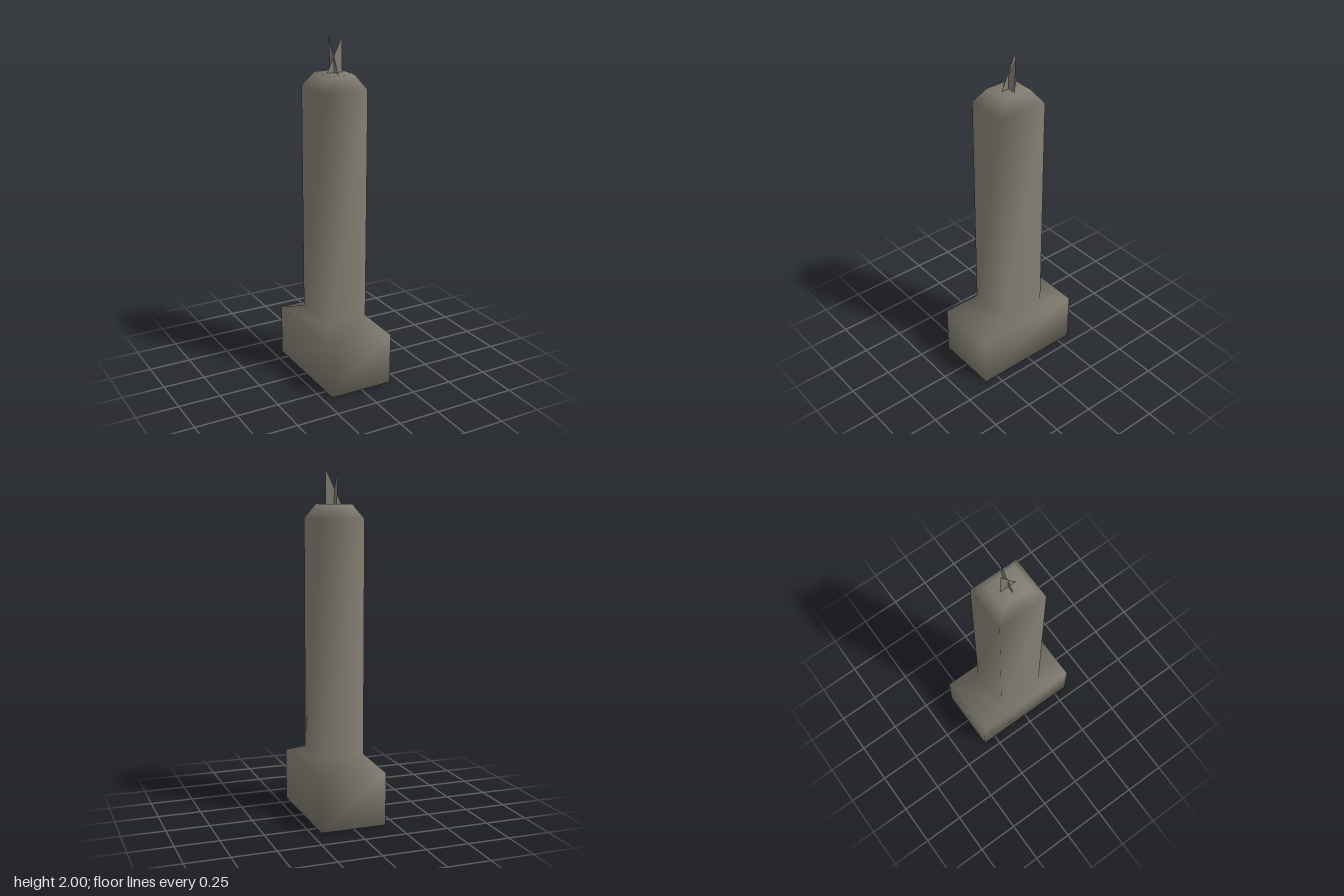
import * as THREE from 'three';

const stone = new THREE.MeshStandardMaterial({ color: 0x827d71, side: THREE.DoubleSide });
stone.name = 'weathered grey stone';

// Rectangular rings [y, half width, half depth], joined with shared corners and closed at both ends
function ringTower(rings) {
  const positions = [];
  const index = [];
  for (const [y, w, d] of rings) {
    positions.push(-w, y, d, w, y, d, w, y, -d, -w, y, -d);
  }
  for (let r = 0; r < rings.length - 1; r++) {
    for (let i = 0; i < 4; i++) {
      const a = r * 4 + i;
      const b = r * 4 + (i + 1) % 4;
      index.push(a, b, b + 4, a, b + 4, a + 4);
    }
  }
  const t = (rings.length - 1) * 4;
  index.push(t, t + 1, t + 2, t, t + 2, t + 3);
  index.push(0, 2, 1, 0, 3, 2);
  const geometry = new THREE.BufferGeometry();
  geometry.setAttribute('position', new THREE.Float32BufferAttribute(positions, 3));
  geometry.setIndex(index);
  geometry.computeVertexNormals();
  return geometry;
}

export function createModel() {
  const model = new THREE.Group();
  model.name = 'tower';

  // Wide base, sloped shoulders, tall shaft and chamfered top in one smooth skin
  const body = new THREE.Mesh(ringTower([
    [0, 0.193, 0.331],
    [0.308, 0.193, 0.331],
    [0.375, 0.129, 0.146],
    [1.725, 0.129, 0.146],
    [1.806, 0.078, 0.088],
  ]), stone);
  body.name = 'towerBody';
  model.add(body);

  // Two crossed, slightly leaning triangular fins forming the spire
  const finShape = new THREE.Shape([
    new THREE.Vector2(-0.046, 0),
    new THREE.Vector2(0.051, 0),
    new THREE.Vector2(0.051, 0.195),
  ]);
  const finGeometry = new THREE.ShapeGeometry(finShape);
  for (let i = 0; i < 2; i++) {
    const fin = new THREE.Mesh(finGeometry, stone);
    fin.name = i === 0 ? 'spireFinAcross' : 'spireFinAlong';
    fin.position.y = 1.805;
    fin.rotation.set(-0.04, i * Math.PI / 2, 0, 'YXZ');
    model.add(fin);
  }

  return model;
}
